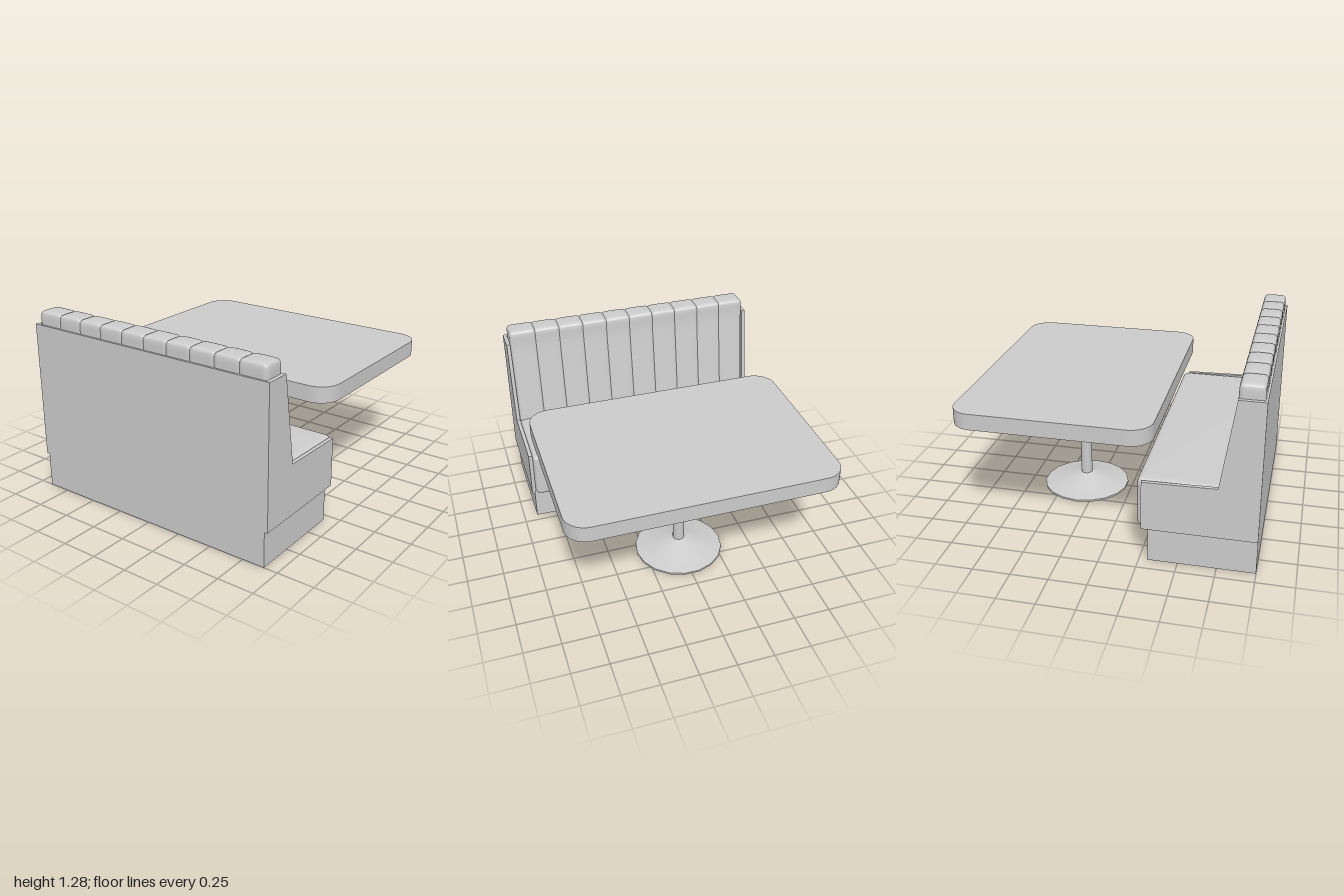
import * as THREE from 'three';
import { mergeVertices } from 'three/addons/utils/BufferGeometryUtils.js';

const material = new THREE.MeshStandardMaterial({ color: 0xcccccc });

function add(parent, name, geometry, x = 0, y = 0, z = 0) {
  const mesh = new THREE.Mesh(geometry, material);
  mesh.name = name;
  mesh.position.set(x, y, z);
  parent.add(mesh);
  return mesh;
}

// Rounded, slightly crowned upholstery block centred on the origin
function softBox(w, h, d, r, crown, segs) {
  let geo = new THREE.BoxGeometry(w, h, d, segs, segs, segs);
  geo.deleteAttribute('uv');
  geo.deleteAttribute('normal');
  geo = mergeVertices(geo);
  const half = new THREE.Vector3(w / 2, h / 2, d / 2);
  const inner = half.clone().subScalar(r);
  const pos = geo.attributes.position;
  const p = new THREE.Vector3(), c = new THREE.Vector3();
  for (let i = 0; i < pos.count; i++) {
    p.fromBufferAttribute(pos, i);
    // gather the grid lines near the edges
    for (const k of ['x', 'y', 'z']) {
      const u = p[k] / half[k];
      p[k] = Math.sign(u) * half[k] * (1 - Math.pow(Math.max(0, 1 - Math.abs(u)), 2.2));
    }
    c.copy(p).clamp(inner.clone().negate(), inner);
    p.sub(c).setLength(r).add(c);
    const bulge = (1 - (p.x / half.x) ** 2) * (1 - (p.z / half.z) ** 2);
    p.y += crown * bulge * p.y / half.y;
    pos.setXYZ(i, p.x, p.y, p.z);
  }
  geo.computeVertexNormals();
  return geo;
}

// One padded backrest channel, its front leaning back towards the top
function channelGeometry(width) {
  const bottom = 0.5, top = 1.27, back = -0.987, depth = 0.17;
  const geo = softBox(depth, top - bottom, width, 0.03, 0.006, 16);
  geo.translate(back + depth / 2, (top + bottom) / 2, 0);
  const pos = geo.attributes.position;
  for (let i = 0; i < pos.count; i++) {
    const front = Math.max(-0.74 - 0.15 * (pos.getY(i) - 0.58), -0.828);
    pos.setX(i, back + (pos.getX(i) - back) * (front - back) / depth);
  }
  geo.computeVertexNormals();
  return geo;
}

function buildBench() {
  const bench = new THREE.Group();
  bench.name = 'bench';
  add(bench, 'plinth', new THREE.BoxGeometry(0.695, 0.24, 1.81), -0.6525, 0.12);
  add(bench, 'backBoard', new THREE.BoxGeometry(0.015, 0.94, 1.81), -0.9925, 0.71);
  add(bench, 'seatCushion', softBox(0.755, 0.34, 1.8, 0.035, 0.006, 24), -0.6075, 0.412);

  // Vertical channels of the backrest, slightly overlapping at the seams
  const count = 10, pitch = 0.178;
  const channel = channelGeometry(pitch + 0.02);
  for (let i = 0; i < count; i++) {
    add(bench, 'backrestChannel', channel, 0, 0, (i - (count - 1) / 2) * pitch);
  }

  // L-shaped end panels
  const outline = new THREE.Shape([
    [-1, 0.24], [-0.265, 0.24], [-0.265, 0.575], [-0.74, 0.585], [-0.83, 1.18], [-1, 1.18],
  ].map(([x, y]) => new THREE.Vector2(x, y)));
  const panel = new THREE.ExtrudeGeometry(outline, { depth: 0.026, bevelEnabled: false });
  add(bench, 'leftEndPanel', panel, 0, 0, 0.901);
  add(bench, 'rightEndPanel', panel, 0, 0, -0.927);
  return bench;
}

function buildTable() {
  const table = new THREE.Group();
  table.name = 'table';
  table.position.x = 0.343;

  // Round-cornered top
  const w = 0.655, d = 0.906, r = 0.145;
  const shape = new THREE.Shape();
  shape.absarc(w - r, d - r, r, 0, Math.PI / 2);
  shape.absarc(r - w, d - r, r, Math.PI / 2, Math.PI);
  shape.absarc(r - w, r - d, r, Math.PI, Math.PI * 1.5);
  shape.absarc(w - r, r - d, r, Math.PI * 1.5, Math.PI * 2);
  const top = new THREE.ExtrudeGeometry(shape, { depth: 0.11, bevelEnabled: false, curveSegments: 10 });
  top.rotateX(-Math.PI / 2);
  add(table, 'tableTop', top, 0, 0.8);

  // Post and flared foot
  add(table, 'post', new THREE.CylinderGeometry(0.04, 0.04, 0.73, 18), 0, 0.445);
  const rim = [[0, 0], [0.308, 0]], edge = [[0.308, 0], [0.308, 0.013]];
  const flare = [[0.308, 0.013], [0.25, 0.026], [0.18, 0.044], [0.11, 0.066], [0.04, 0.09]];
  [['footUnderside', rim], ['footRim', edge], ['footFlare', flare]].forEach(([name, pts]) => {
    const profile = pts.map(([x, y]) => new THREE.Vector2(x, y));
    add(table, name, new THREE.LatheGeometry(profile, 18));
  });
  return table;
}

export function createModel() {
  const model = new THREE.Group();
  model.name = 'diningBooth';
  model.add(buildBench(), buildTable());
  return model;
}
